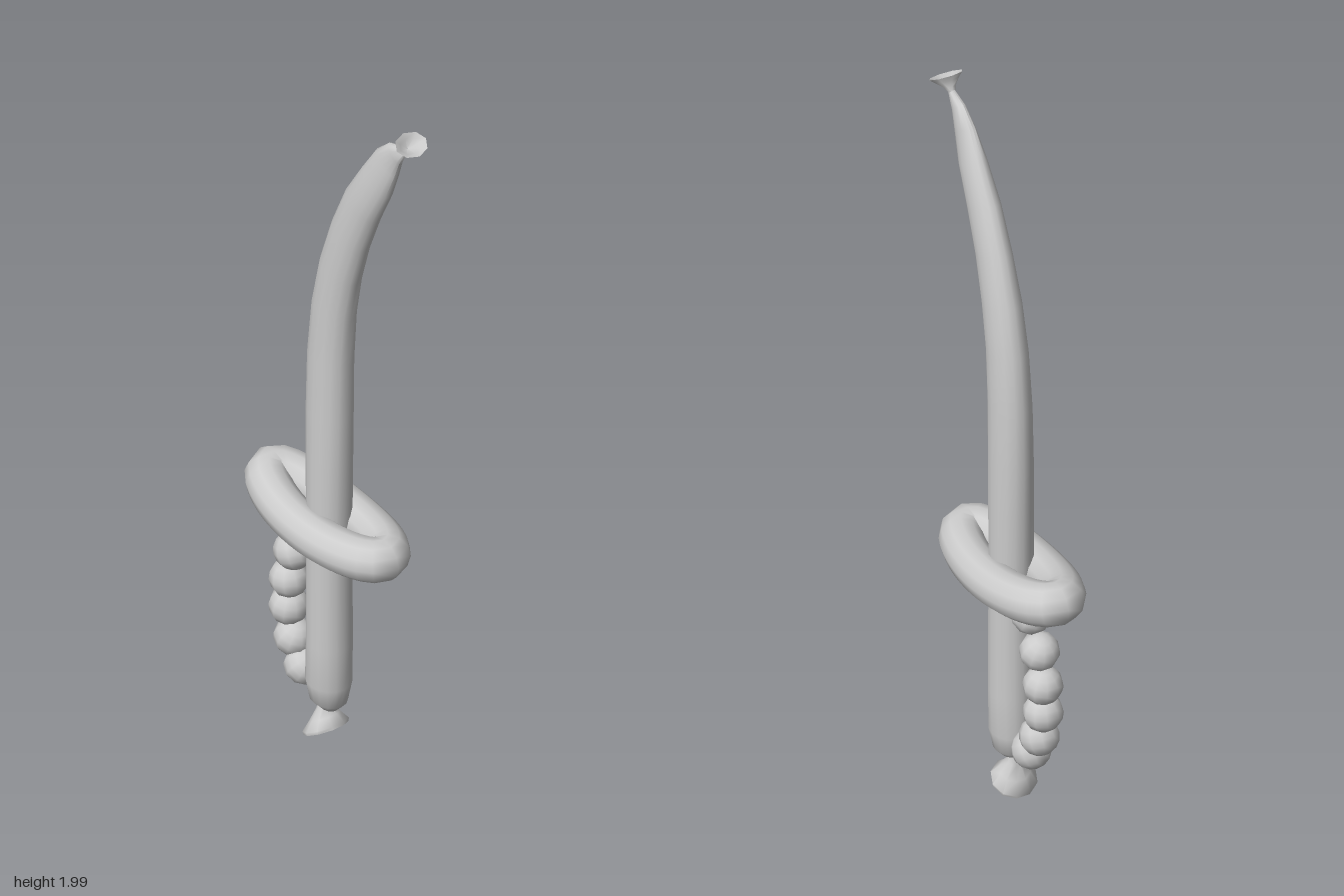
import * as THREE from 'three';
import { toCreasedNormals } from 'three/addons/utils/BufferGeometryUtils.js';

const material = new THREE.MeshStandardMaterial({ color: 0xcccccc });

function part(name, geometry) {
  const mesh = new THREE.Mesh(geometry, material);
  mesh.name = name;
  return mesh;
}

// Skin of elliptical rings [z, y, halfWidth, halfDepth] centred on x = 0.
// Rings face along the path, or along the fixed direction [z, y] if given.
function loft(rings, sides, direction) {
  const positions = [], index = [];
  rings.forEach(([z, y, rx, rd], i) => {
    const a = rings[Math.max(i - 1, 0)], b = rings[Math.min(i + 1, rings.length - 1)];
    const [tz, ty] = direction ?? [b[0] - a[0], b[1] - a[1]];
    const len = Math.hypot(tz, ty);
    for (let j = 0; j < sides; j++) {
      const t = (j / sides) * Math.PI * 2;
      const d = (Math.sin(t) * rd) / len;
      positions.push(Math.cos(t) * rx, y + d * tz, z - d * ty);
    }
  });
  for (let i = 0; i < rings.length - 1; i++) {
    for (let j = 0; j < sides; j++) {
      const k = (j + 1) % sides;
      const p = i * sides + j, q = i * sides + k;
      index.push(p, q, q + sides, p, q + sides, p + sides);
    }
  }
  const geometry = new THREE.BufferGeometry();
  geometry.setAttribute('position', new THREE.Float32BufferAttribute(positions, 3));
  geometry.setIndex(index);
  geometry.computeVertexNormals();
  return toCreasedNormals(geometry, 1.1);
}

export function createModel() {
  const group = new THREE.Group();

  // Long balloon: straight grip running into the curved, tapering blade
  group.add(part('gripAndBlade', loft([
    [-0.045, 0.1, 0.001, 0.001],
    [-0.043, 0.103, 0.025, 0.032],
    [-0.039, 0.125, 0.046, 0.053],
    [-0.038, 0.18, 0.057, 0.062],
    [-0.035, 0.3, 0.058, 0.06],
    [-0.036, 0.65, 0.057, 0.06],
    [-0.035, 0.85, 0.056, 0.064],
    [-0.034, 1.0, 0.055, 0.067],
    [-0.03, 1.17, 0.053, 0.067],
    [-0.016, 1.325, 0.05, 0.066],
    [0.01, 1.453, 0.047, 0.065],
    [0.05, 1.58, 0.042, 0.063],
    [0.099, 1.697, 0.038, 0.061],
    [0.154, 1.797, 0.031, 0.055],
    [0.193, 1.872, 0.02, 0.046],
    [0.225, 1.918, 0.014, 0.031],
    [0.262, 1.947, 0.008, 0.01],
    [0.264, 1.949, 0.001, 0.001],
  ], 16)));

  // Hollow, flared nozzles at both ends
  group.add(part('tipNozzle', loft([
    [0.255, 1.943, 0.007, 0.008],
    [0.268, 1.955, 0.015, 0.014],
    [0.281, 1.968, 0.034, 0.026],
    [0.288, 1.978, 0.047, 0.037],
    [0.284, 1.971, 0.03, 0.022],
    [0.272, 1.958, 0.001, 0.001],
  ], 8, [0.486, 0.874])));
  group.add(part('gripNozzle', loft([
    [-0.055, 0.12, 0.012, 0.012],
    [-0.056, 0.09, 0.02, 0.02],
    [-0.053, 0.06, 0.042, 0.037],
    [-0.05, 0.034, 0.062, 0.058],
    [-0.048, 0.026, 0.06, 0.056],
    [-0.051, 0.05, 0.036, 0.033],
    [-0.054, 0.085, 0.001, 0.001],
  ], 10, [0.46, -0.89])));

  // Hand guard: long oval ring, lifted toward the back
  const guardPath = [];
  for (let i = 0; i < 20; i++) {
    const a = (i / 20) * Math.PI * 2, z = -0.042 + 0.222 * Math.cos(a);
    guardPath.push(new THREE.Vector3(0.069 * Math.sin(a), 0.658 + 0.7 * (z - 0.05) ** 2 * (z < 0.05 ? 0.6 : 0.3), z));
  }
  const guardCurve = new THREE.CatmullRomCurve3(guardPath, true);
  group.add(part('guard', new THREE.TubeGeometry(guardCurve, 40, 0.058, 12, true)));

  // Knuckle bow: a bowed string of round bubbles behind the grip
  const beads = new THREE.Group();
  beads.name = 'knuckleBow';
  const centres = [[-0.135, 0.585], [-0.176, 0.498], [-0.193, 0.405], [-0.194, 0.322], [-0.175, 0.238], [-0.135, 0.172]];
  centres.forEach(([z, y], i) => {
    const bead = part('bubble' + (i + 1), new THREE.SphereGeometry(0.052, 10, 8));
    bead.position.set(0, y, z);
    bead.rotation.x = (i - 2.5) * 0.25;
    beads.add(bead);
  });
  group.add(beads);

  return group;
}
